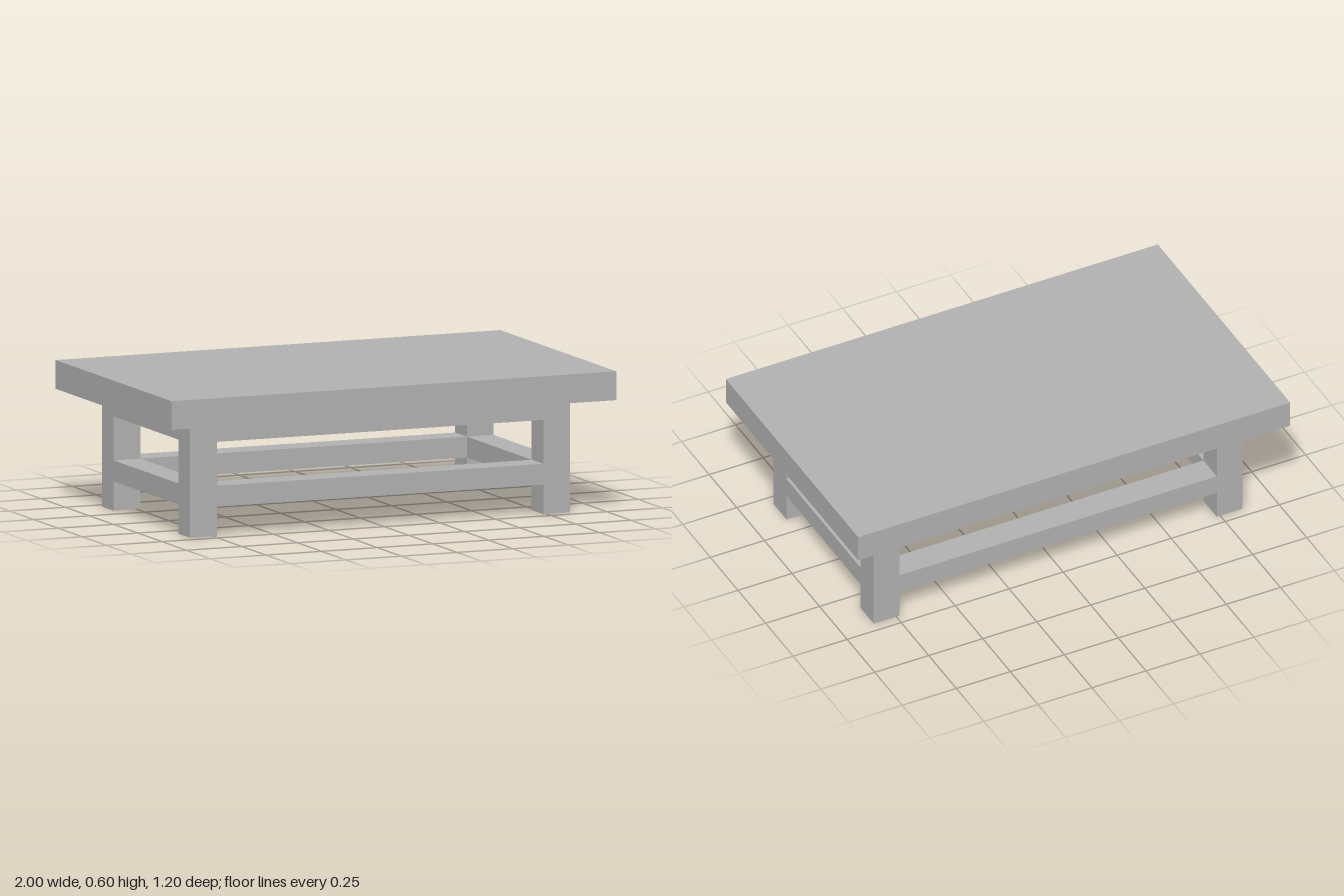
import * as THREE from 'three';

export function createModel() {
  const table = new THREE.Group();
  table.name = 'lowTable';
  const grey = new THREE.MeshStandardMaterial({ color: 0xb2b2b2 });
  grey.name = 'plain grey';

  const box = (name, w, h, d, x, y, z) => {
    const mesh = new THREE.Mesh(new THREE.BoxGeometry(w, h, d), grey);
    mesh.name = name;
    mesh.position.set(x, y, z);
    table.add(mesh);
  };

  const post = 0.12; // thickness of legs, rails and top
  const legX = 0.794, legZ = 0.395; // leg centres
  const legHeight = 0.48;
  const railHeight = 0.087;

  // Thick slab top
  box('tableTop', 2, 0.12, 1.2, 0, 0.54, 0);

  // Four square legs
  for (const sx of [-1, 1]) {
    for (const sz of [-1, 1]) {
      const name = (sz > 0 ? 'front' : 'back') + (sx > 0 ? 'Left' : 'Right') + 'Leg';
      box(name, post, legHeight, post, sx * legX, legHeight / 2, sz * legZ);
    }
  }

  // Apron under the top and stretchers lower down, flush with the legs
  for (const [part, y] of [['Apron', legHeight - railHeight / 2], ['Stretcher', 0.1665]]) {
    for (const s of [-1, 1]) {
      box((s > 0 ? 'front' : 'back') + part, 2 * legX - post, railHeight, post, 0, y, s * legZ);
      box((s > 0 ? 'left' : 'right') + part, post, railHeight, 2 * legZ - post, s * legX, y, 0);
    }
  }

  return table;
}
